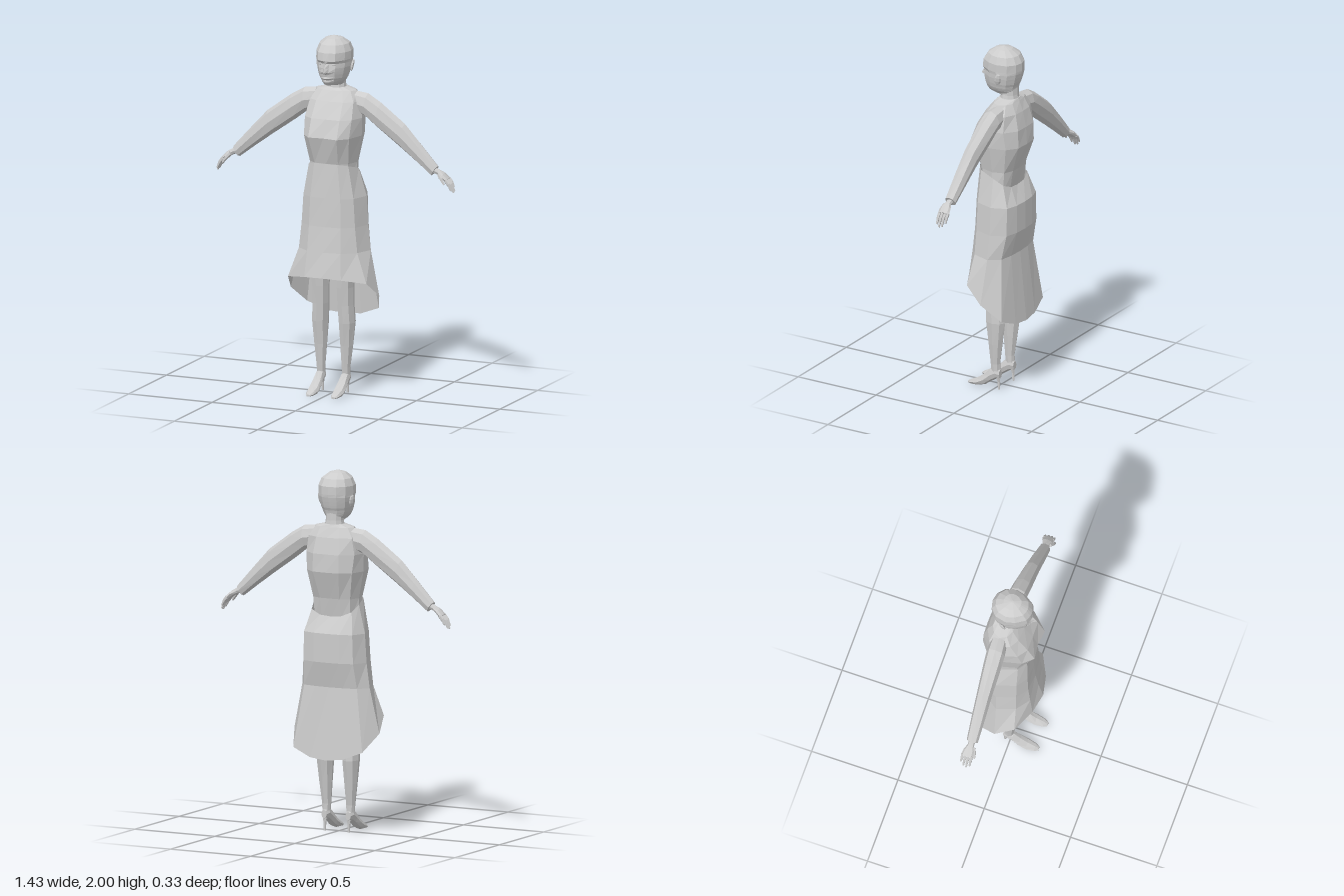
import * as THREE from 'three';

const plaster = new THREE.MeshStandardMaterial({ color: 0xcccccc, side: THREE.DoubleSide, flatShading: true });
plaster.name = 'plain grey';

// Skin a list of closed rings (each a list of [x, y, z]) and optionally cap both ends
function loft(name, rings, caps = true) {
  const n = rings[0].length, pos = rings.flat(2), index = [];
  for (let i = 0; i < rings.length - 1; i++) {
    for (let j = 0; j < n; j++) {
      const a = i * n + j, b = i * n + (j + 1) % n, c = b + n, d = a + n;
      index.push(a, b, c, a, c, d);
    }
  }
  if (caps) {
    const last = (rings.length - 1) * n;
    for (let j = 1; j < n - 1; j++) index.push(0, j + 1, j, last, last + j, last + j + 1);
  }
  const geometry = new THREE.BufferGeometry();
  geometry.setAttribute('position', new THREE.Float32BufferAttribute(pos, 3));
  geometry.setIndex(index);
  const flat = geometry.toNonIndexed();
  flat.computeVertexNormals();
  const mesh = new THREE.Mesh(flat, plaster);
  mesh.name = name;
  return mesh;
}

// Complete a half outline running from front centre to back centre
function mirrorRing(half) {
  return [...half, ...half.slice(1, -1).reverse().map(([x, y, z]) => [-x, y, z])];
}
const level = (y, half) => mirrorRing(half.map(([x, z]) => [x, y, z]));

// Ellipse ring around a centre from two half axes
function ellipse(c, u, v, n = 8) {
  return Array.from({ length: n }, (_, i) => {
    const a = (i / n) * Math.PI * 2;
    return c.map((k, m) => k + u[m] * Math.cos(a) + v[m] * Math.sin(a));
  });
}

// Ring spanning a top and bottom point in the xy plane, with half depth hz
function limbRing([tx, ty, bx, by, z, hz], n = 8) {
  return ellipse([(tx + bx) / 2, (ty + by) / 2, z], [(tx - bx) / 2, (ty - by) / 2, 0], [0, 0, hz], n);
}

function makeBodice() {
  return loft('bodice', [
    level(1.19, [[0, .085], [.07, .08], [.11, .05], [.135, -.02], [.11, -.075], [.06, -.09], [0, -.09]]),
    level(1.30, [[0, .095], [.07, .092], [.115, .055], [.135, -.02], [.115, -.085], [.06, -.108], [0, -.11]]),
    level(1.45, [[0, .135], [.085, .145], [.135, .09], [.162, -.02], [.14, -.11], [.08, -.155], [0, -.16]]),
    level(1.55, [[0, .105], [.085, .105], [.14, .065], [.165, -.02], [.15, -.1], [.08, -.153], [0, -.155]]),
    level(1.64, [[0, .055], [.08, .05], [.13, .02], [.15, -.045], [.135, -.1], [.07, -.132], [0, -.135]]),
    level(1.695, [[0, .018], [.06, .01], [.1, -.01], [.12, -.048], [.1, -.085], [.06, -.105], [0, -.112]]),
    level(1.71, [[0, .002], [.03, -.003], [.048, -.02], [.058, -.05], [.05, -.08], [.03, -.1], [0, -.105]])
  ]);
}

function makeNeck() {
  return loft('neck', [[1.69, .058, .056], [1.73, .05, .05], [1.8, .05, .048]]
    .map(([y, hx, hz]) => ellipse([0, y, -.05], [0, 0, hz], [hx, 0, 0], 10)));
}

// High-low skirt, open below
function makeSkirt() {
  const hem = [[0, .672, .165], [.11, .665, .142], [.235, .645, .08], [.265, .56, -.025],
    [.215, .465, -.13], [.1, .42, -.15], [0, .41, -.157]];
  const waist = [[0, 1.3, .1], [.07, 1.3, .097], [.118, 1.29, .06], [.14, 1.265, -.03],
    [.125, 1.23, -.085], [.065, 1.205, -.1], [0, 1.2, -.1]];
  return loft('skirt', [
    mirrorRing(hem),
    level(.81, [[0, .138], [.1, .125], [.175, .068], [.21, -.035], [.165, -.098], [.085, -.113], [0, -.117]]),
    level(.95, [[0, .12], [.095, .112], [.16, .065], [.193, -.04], [.155, -.125], [.08, -.145], [0, -.15]]),
    level(1.11, [[0, .112], [.09, .106], [.15, .063], [.183, -.04], [.15, -.125], [.08, -.145], [0, -.15]]),
    mirrorRing(waist)
  ], false);
}

function makeHead() {
  const head = new THREE.Group();
  head.name = 'head';
  // Height, front at centre, beside the nose, at the eyes, half width, back
  const rows = [
    [1.722, .0, -.002, -.01, .04, -.09],
    [1.737, .08, .077, .06, .05, -.092],
    [1.755, .094, .09, .07, .066, -.096],
    [1.768, .092, .088, .073, .074, -.098],
    [1.776, .103, .096, .076, .078, -.1],
    [1.786, .097, .092, .078, .081, -.103],
    [1.8, .101, .094, .08, .086, -.11],
    [1.813, .13, .102, .082, .089, -.114],
    [1.835, .118, .097, .083, .094, -.12],
    [1.86, .103, .092, .078, .097, -.126],
    [1.876, .107, .104, .092, .098, -.128],
    [1.92, .1, .098, .086, .099, -.128],
    [1.96, .076, .074, .064, .083, -.106],
    [1.988, .036, .035, .03, .048, -.062],
    [2, -.008, -.008, -.009, .006, -.018]
  ];
  const mix = THREE.MathUtils.lerp;
  head.add(loft('skull and face', rows.map(([y, front, side, eye, w, back]) => {
    const mid = (eye + back) / 2;
    return level(y, [[0, front], [.18 * w, side], [.52 * w, eye], [.87 * w, mix(eye, mid, .5)], [w, mid],
      [.85 * w, mix(mid, back, .58)], [.46 * w, mix(mid, back, .9)], [0, back]]);
  })));
  for (const s of [-1, 1]) {
    const ear = new THREE.Mesh(new THREE.SphereGeometry(1, 7, 5), plaster);
    ear.name = 'ear';
    ear.scale.set(.009, .035, .02);
    ear.position.set(s * .1, 1.838, -.035);
    ear.rotation.set(-.15, s * .4, -s * .15);
    const eye = new THREE.Mesh(new THREE.SphereGeometry(1, 8, 5), plaster);
    eye.name = 'eye';
    eye.scale.set(.015, .007, .008);
    eye.position.set(s * .037, 1.857, .08);
    head.add(ear, eye);
  }
  return head;
}

function makeArm() {
  const arm = new THREE.Group();
  arm.name = 'arm';
  arm.add(loft('sleeve', [
    [.09, 1.695, .12, 1.57, -.05, .045],
    [.19, 1.685, .175, 1.555, -.045, .052],
    [.268, 1.64, .24, 1.505, -.043, .05],
    [.412, 1.535, .378, 1.408, -.04, .042],
    [.51, 1.43, .478, 1.335, -.038, .038],
    [.612, 1.318, .575, 1.262, -.036, .032]
  ].map(r => limbRing(r))));
  arm.add(loft('palm', [
    [.595, 1.312, .578, 1.28, -.036, .018],
    [.622, 1.3, .61, 1.27, -.036, .018],
    [.65, 1.283, .637, 1.255, -.038, .03],
    [.678, 1.255, .66, 1.235, -.04, .034]
  ].map(r => limbRing(r))));
  // Four fingers, the middle ones longest
  [.03, .036, .034, .024].forEach((reach, i) => {
    const z = -.014 - i * .0172, k = reach / .036;
    arm.add(loft('finger', [
      [.672, 1.258, .658, 1.24, z, .0085],
      [.672 + .024 * k, 1.258 - .03 * k, .66 + .022 * k, 1.24 - .028 * k, z, .008],
      [.673 + .04 * k, 1.256 - .075 * k, .667 + .036 * k, 1.248 - .073 * k, z - .001, .005]
    ].map(r => limbRing(r, 6))));
  });
  arm.add(loft('thumb', [
    [.628, 1.29, .618, 1.265, -.018, .011],
    [.65, 1.263, .64, 1.243, -.006, .01],
    [.668, 1.23, .66, 1.221, -.001, .006]
  ].map(r => limbRing(r, 6))));
  return arm;
}

function makeLeg() {
  const leg = new THREE.Group();
  leg.name = 'leg';
  // Height, centre x, centre z, half width, half depth
  leg.add(loft('calf and thigh', [
    [.09, .075, -.008, .022, .026],
    [.15, .075, -.005, .025, .028],
    [.27, .078, -.008, .036, .042],
    [.4, .08, -.01, .045, .06],
    [.5, .075, -.003, .046, .058],
    [.6, .074, 0, .047, .062],
    [.9, .08, 0, .066, .075]
  ].map(([y, x, z, hx, hz]) => ellipse([x, y, z], [0, 0, hz], [hx, 0, 0]))));
  // Depth, top, sole, half width
  leg.add(loft('shoe', [
    [.166, .014, .002, .012],
    [.145, .026, 0, .024],
    [.1, .048, 0, .032],
    [.06, .078, .012, .031],
    [.02, .118, .04, .026],
    [-.012, .135, .06, .025],
    [-.036, .115, .066, .017]
  ].map(([z, top, sole, hx]) => ellipse([.075, (top + sole) / 2, z], [0, (top - sole) / 2, 0], [hx, 0, 0]))));
  leg.add(loft('heel', [[0, -.028, .007], [.045, -.026, .008], [.085, -.02, .016]]
    .map(([y, z, r]) => ellipse([.075, y, z], [0, 0, r], [r, 0, 0], 6))));
  return leg;
}

export function createModel() {
  const model = new THREE.Group();
  model.name = 'woman in dress';
  model.add(makeBodice(), makeNeck(), makeSkirt(), makeHead());
  for (const [side, s] of [['left', 1], ['right', -1]]) {
    for (const [part, make] of [['Arm', makeArm], ['Leg', makeLeg]]) {
      const limb = make();
      limb.name = side + part;
      limb.scale.x = s;
      model.add(limb);
    }
  }
  return model;
}
